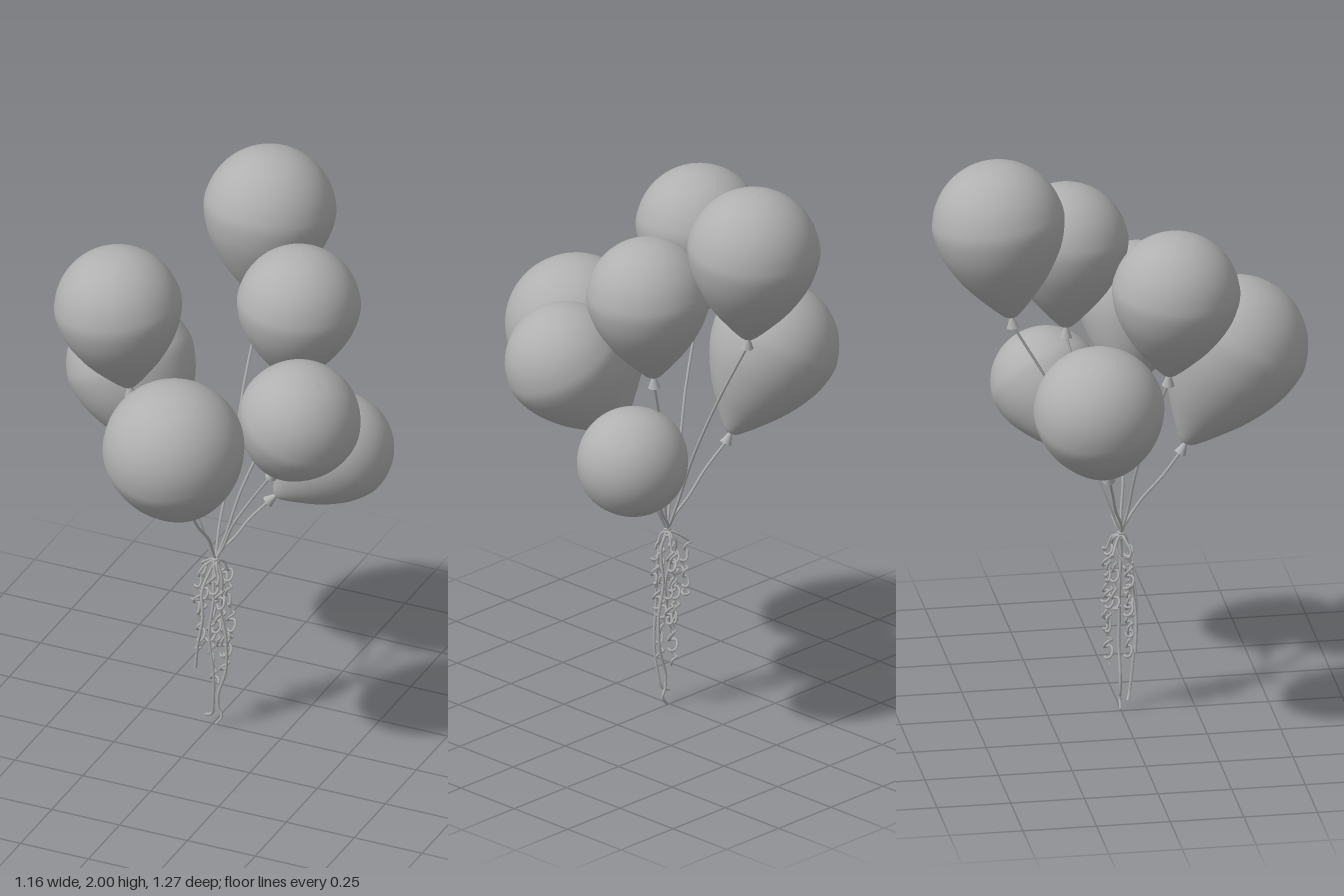
import * as THREE from 'three';

const V = (x, y, z) => new THREE.Vector3(x, y, z);
const KNOT = V(0.01, 0.64, 0);

// centre of the widest ring, tip, radius
const BALLOONS = [
  { name: 'backTopBalloon', c: [0.02, 1.777, -0.413], t: [0.005, 1.45, -0.372], r: 0.223 },
  { name: 'rightFrontHighBalloon', c: [-0.285, 1.613, 0.138], t: [-0.252, 1.31, 0.12], r: 0.215 },
  { name: 'leftBackHighBalloon', c: [0.25, 1.603, -0.145], t: [0.23, 1.31, -0.15], r: 0.208 },
  { name: 'frontBalloon', c: [0.04, 1.283, 0.4], t: [0.016, 0.95, 0.22], r: 0.238 },
  { name: 'rightBackLowBalloon', c: [-0.362, 1.24, -0.135], t: [-0.21, 0.95, -0.08], r: 0.219 },
  { name: 'leftFrontBalloon', c: [0.373, 1.327, 0.12], t: [0.25, 1.07, 0.05], r: 0.206 },
  { name: 'leftBackLowBalloon', c: [0.373, 1.058, -0.193], t: [0.185, 0.875, -0.105], r: 0.188 },
];

// teardrop profile: tapered below the widest ring, round above it
function balloonGeometry(r, neck) {
  const lower = [[0.04, 0], [0.13, 0.03], [0.37, 0.2], [0.66, 0.44], [0.9, 0.73], [1, 1]];
  const pts = lower.map(([x, y]) => new THREE.Vector2(x * r, y * neck));
  for (let i = 1; i <= 6; i++) {
    const a = (i / 6) * Math.PI / 2;
    pts.push(new THREE.Vector2(r * Math.cos(a), neck + r * Math.sin(a)));
  }
  const smooth = new THREE.SplineCurve(pts).getPoints(44);
  smooth.forEach(p => { p.x = Math.max(p.x, 0); });
  smooth[smooth.length - 1].x = 0;
  return new THREE.LatheGeometry(smooth, 48);
}

export function createModel() {
  const model = new THREE.Group();
  model.name = 'balloonBunch';
  const grey = new THREE.MeshStandardMaterial({ color: 0xb0b0b0 });
  grey.name = 'grey';

  const add = (parent, geometry, name) => {
    const mesh = new THREE.Mesh(geometry, grey);
    mesh.name = name;
    parent.add(mesh);
    return mesh;
  };
  const tube = (points, name, radius = 0.005, segments = 32) =>
    add(model, new THREE.TubeGeometry(new THREE.CatmullRomCurve3(points), segments, radius, 6), name);

  // balloons, nozzles and the strings that hold them
  BALLOONS.forEach(({ name, c, t, r }, i) => {
    const centre = V(...c), tip = V(...t);
    const axis = centre.clone().sub(tip);
    const neck = axis.length();
    axis.normalize();

    const balloon = new THREE.Group();
    balloon.name = name;
    balloon.position.copy(tip);
    balloon.quaternion.setFromUnitVectors(V(0, 1, 0), axis);
    model.add(balloon);
    add(balloon, balloonGeometry(r, neck), 'skin');
    add(balloon, new THREE.CylinderGeometry(0.006, 0.021, 0.04, 16), 'nozzle').position.y = -0.018;

    const start = tip.clone().addScaledVector(axis, -0.03);
    const path = [start];
    [0.7, 0.4, 0.15].forEach((f, k) => {
      const p = KNOT.clone().lerp(start, f);
      const pull = [0.94, 0.84, 0.75][k];
      p.x = KNOT.x + (p.x - KNOT.x) * pull + 0.006 * Math.sin(i * 2 + k * 2);
      p.z = KNOT.z + (p.z - KNOT.z) * pull + 0.006 * Math.cos(i * 2 + k * 2);
      path.push(p);
    });
    path.push(KNOT);
    tube(path, 'string');
  });

  // wrapped knot
  for (let i = 0; i < 3; i++) {
    const ring = add(model, new THREE.TorusGeometry(0.009, 0.005, 6, 16), 'knotWrap');
    ring.position.set(KNOT.x, KNOT.y - 0.014 + i * 0.009, KNOT.z);
    ring.rotation.set(Math.PI / 2 + 0.25 * (i - 1), 0.2 * (i - 1), 0);
  }

  // long hanging tails
  tube([KNOT, V(0.035, 0.58, 0.005), V(0.03, 0.45, 0), V(0.05, 0.34, 0.002), V(0.048, 0.22, 0),
    V(0.02, 0.12, 0), V(0.022, 0.065, 0), V(0.034, 0.04, 0), V(0.012, 0.006, 0)], 'longTail', 0.005, 48);
  tube([KNOT, V(0.012, 0.6, 0.02), V(0.02, 0.5, 0.04), V(0.01, 0.38, 0.052), V(0.025, 0.22, 0.048),
    V(0.018, 0.1, 0.035), V(0.01, 0.06, 0.028), V(-0.018, 0.045, 0.018)], 'longTail', 0.005, 48);
  tube([KNOT, V(-0.01, 0.6, -0.02), V(-0.03, 0.52, 0.02), V(-0.02, 0.42, 0.04),
    V(-0.035, 0.32, 0.045), V(-0.045, 0.23, 0.04)], 'shortTail');

  // curled ribbon ends: x, z, bottom, turns
  const curls = [
    [0.012, 0.028, 0.18, 9], [0.018, -0.04, 0.17, 9], [-0.042, 0.02, 0.28, 6],
    [0.042, -0.045, 0.25, 7], [-0.045, -0.03, 0.4, 4], [0.035, 0.03, 0.32, 6],
  ];
  curls.forEach(([x, z, bottom, turns], i) => {
    const path = [KNOT, V((x + KNOT.x) / 2, 0.625, z * 0.6)];
    const steps = turns * 8;
    for (let s = 0; s <= steps; s++) {
      const f = s / steps, a = f * turns * Math.PI * 2 + i;
      const radius = 0.005 + 0.01 * (0.5 + 0.5 * Math.sin(f * 14 + i * 2));
      path.push(V(
        x + radius * Math.cos(a) + 0.007 * Math.sin(f * 8 + i),
        0.59 + (bottom - 0.59) * f + 0.007 * Math.sin(a * 1.5),
        z + radius * Math.sin(a)));
    }
    tube(path, 'curledRibbon', 0.0045, steps * 2);
  });

  // loose curl tips standing off the bundle
  [[-0.06, 0.475, 0.01], [-0.045, 0.3, 0.02], [0.045, 0.335, -0.045], [-0.055, 0.4, -0.02]].forEach(([x, y, z], i) => {
    const loop = add(model, new THREE.TorusGeometry(0.012, 0.0045, 6, 16, 5), 'curlTip');
    loop.position.set(x, y, z);
    loop.rotation.set(1.2, i, 0.4 * i);
  });

  return model;
}
